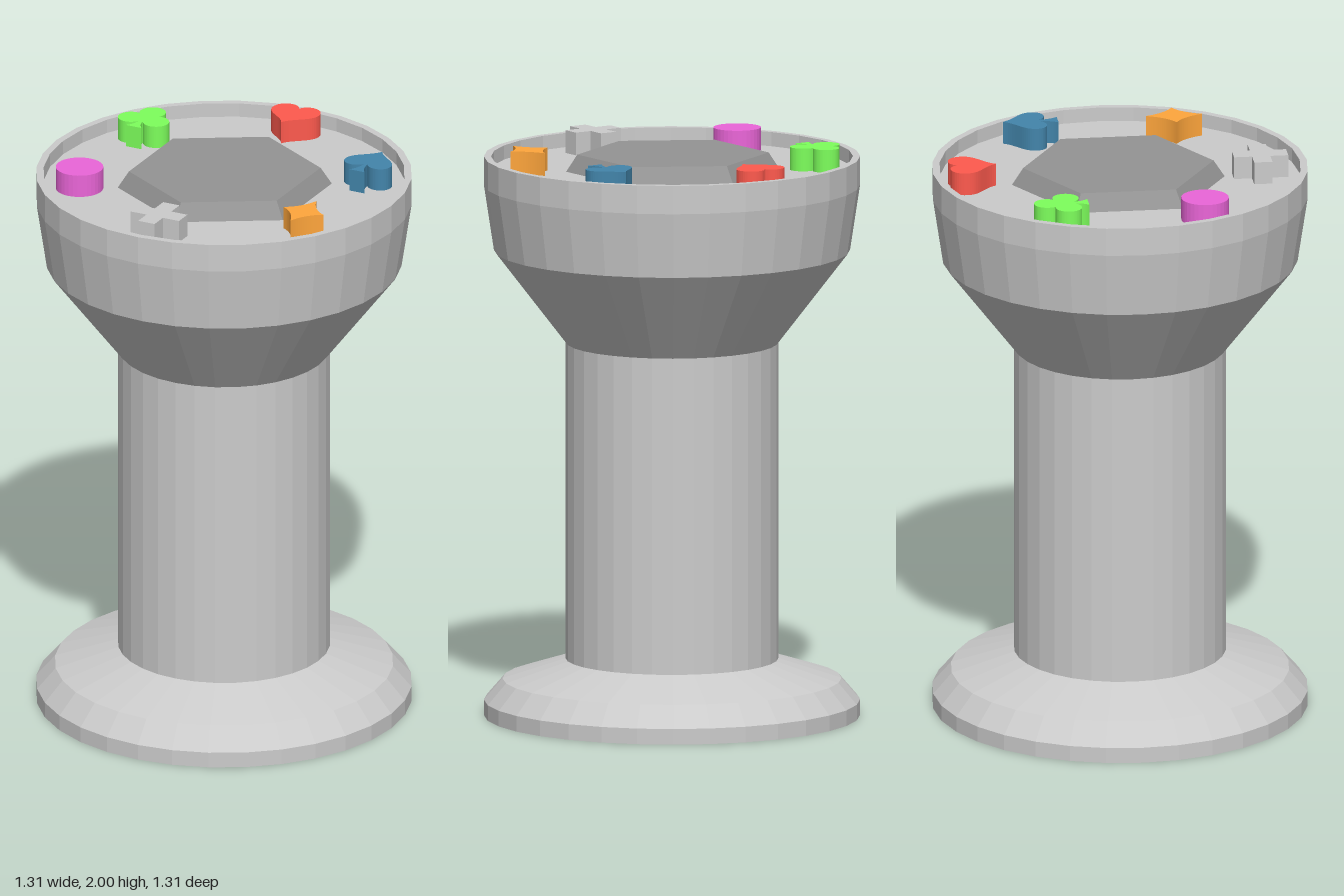
import * as THREE from 'three';

const FLOOR = 1.92; // recessed floor of the head
const TOP = 2.0;    // top of the raised symbols

function part(name, geometry, color = 0xcccccc, flatShading = false) {
  const mesh = new THREE.Mesh(geometry, new THREE.MeshStandardMaterial({ color, flatShading }));
  mesh.name = name;
  return mesh;
}

// Symbol outlines, drawn about their own centre with y pointing to the back
function heart() {
  const s = new THREE.Shape();
  s.moveTo(0, -0.081);
  s.bezierCurveTo(0.022, -0.035, 0.09, -0.02, 0.09, 0.03);
  s.bezierCurveTo(0.09, 0.09, 0.015, 0.1, 0, 0.054);
  s.bezierCurveTo(-0.015, 0.1, -0.09, 0.09, -0.09, 0.03);
  s.bezierCurveTo(-0.09, -0.02, -0.022, -0.035, 0, -0.081);
  return s;
}

function spade() {
  const s = new THREE.Shape();
  s.moveTo(0.03, -0.096);
  s.quadraticCurveTo(0.01, -0.075, 0.006, -0.03);
  s.bezierCurveTo(0.025, -0.065, 0.088, -0.06, 0.088, -0.012);
  s.bezierCurveTo(0.088, 0.035, 0.025, 0.05, 0, 0.096);
  s.bezierCurveTo(-0.025, 0.05, -0.088, 0.035, -0.088, -0.012);
  s.bezierCurveTo(-0.088, -0.06, -0.025, -0.065, -0.006, -0.03);
  s.quadraticCurveTo(-0.01, -0.075, -0.03, -0.096);
  s.closePath();
  return s;
}

function club() {
  const s = new THREE.Shape();
  const rad = THREE.MathUtils.degToRad;
  const lobe = (x, y, a, b) => s.absarc(x, y, 0.046, rad(a), rad(b), false);
  s.moveTo(0.031, -0.095);
  s.quadraticCurveTo(0.011, -0.075, 0.008, -0.045);
  lobe(0.049, -0.021, -150, 103);
  lobe(0, 0.049, -33, 213);
  lobe(-0.049, -0.021, 77, 330);
  s.quadraticCurveTo(-0.011, -0.075, -0.031, -0.095);
  s.closePath();
  return s;
}

function diamond() {
  const s = new THREE.Shape();
  const w = 0.078, h = 0.099, c = 0.024;
  s.moveTo(w, 0);
  s.quadraticCurveTo(c, c * 1.2, 0, h);
  s.quadraticCurveTo(-c, c * 1.2, -w, 0);
  s.quadraticCurveTo(-c, -c * 1.2, 0, -h);
  s.quadraticCurveTo(c, -c * 1.2, w, 0);
  return s;
}

function cross() {
  const a = 0.032, b = 0.095;
  return new THREE.Shape([
    [a, -b], [a, -a], [b, -a], [b, a], [a, a], [a, b],
    [-a, b], [-a, a], [-b, a], [-b, -a], [-a, -a], [-a, -b],
  ].map(([x, y]) => new THREE.Vector2(x, y)));
}

function disc() {
  const s = new THREE.Shape();
  s.absarc(0, 0, 0.083, 0, Math.PI * 2, false);
  return s;
}

export function createModel() {
  const model = new THREE.Group();
  model.name = 'pedestal';

  // Turned body: flared base, column, and cup-shaped head with a thin rim
  const profile = [
    [0, 0], [0.655, 0], [0.655, 0.055], [0.59, 0.13], [0.37, 0.2],
    [0.37, 1.315], [0.62, 1.64], [0.655, 1.87], [0.655, 1.97],
    [0.63, 1.97], [0.63, FLOOR], [0, FLOOR],
  ].map(([r, y]) => new THREE.Vector2(r, y));
  model.add(part('body', new THREE.LatheGeometry(profile, 32), 0xcccccc, true));

  // Bevelled hexagonal plate in the middle of the head
  const plate = part('hexagonPlate', new THREE.CylinderGeometry(0.334, 0.373, 0.06, 6), 0x949494, true);
  plate.position.set(0, FLOOR + 0.03, -0.006);
  model.add(plate);

  // Ring of raised symbols
  const symbols = [
    ['heart', heart(), 0xff5a4e, 0, -0.516],
    ['spade', spade(), 0x4385ab, 0.436, -0.261],
    ['diamond', diamond(), 0xffa63c, 0.436, 0.243],
    ['cross', cross(), 0xcccccc, -0.002, 0.491],
    ['disc', disc(), 0xeb66d9, -0.44, 0.244],
    ['club', club(), 0x7dff5c, -0.438, -0.26],
  ];
  for (const [name, shape, color, x, z] of symbols) {
    const geometry = new THREE.ExtrudeGeometry(shape, {
      depth: TOP - FLOOR, bevelEnabled: false, curveSegments: 16,
    });
    geometry.rotateX(-Math.PI / 2);
    const mesh = part(name, geometry, color);
    mesh.position.set(x, FLOOR, z);
    model.add(mesh);
  }

  return model;
}
